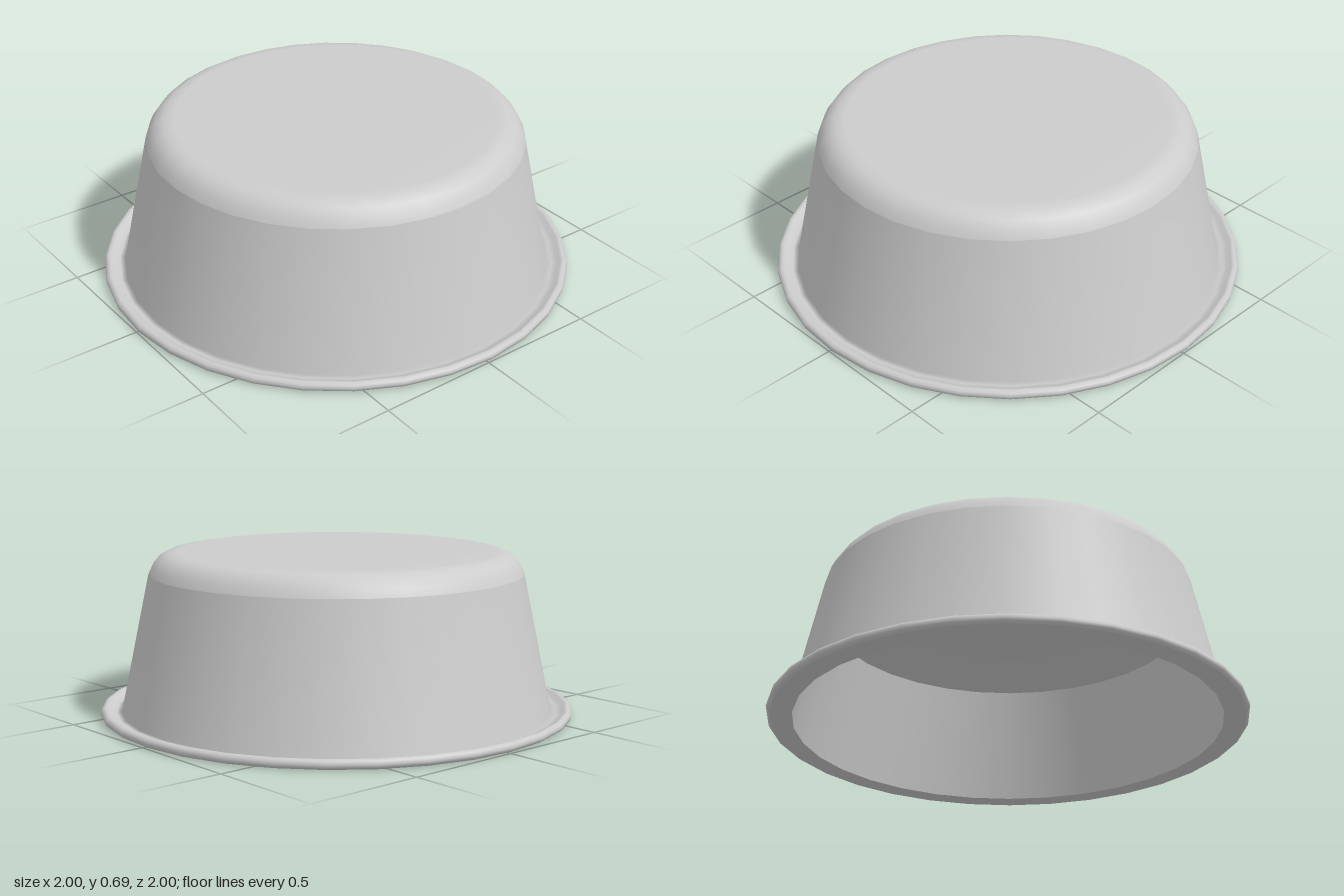
import * as THREE from 'three';

const SIDES = 32;
const TURN = 0.02;

export function createModel() {
  const bowl = new THREE.Group();
  bowl.name = 'upturnedBowl';
  const grey = new THREE.MeshStandardMaterial({ color: 0xcccccc });
  grey.name = 'light grey';

  // Each smooth surface is its own lathe, so the edges between them stay crisp.
  // Outward surfaces run bottom to top; inner ones run top to bottom.
  function turn(name, profile) {
    const points = profile.map(([r, y]) => new THREE.Vector2(r, y));
    const mesh = new THREE.Mesh(new THREE.LatheGeometry(points, SIDES, TURN), grey);
    mesh.name = name;
    bowl.add(mesh);
  }

  // Rolled lip and dished rim, blending into the tapered wall
  turn('rimAndOuterWall', [
    [0.985, 0], [0.997, 0.008], [1, 0.02], [0.996, 0.033], [0.983, 0.04],
    [0.97, 0.037], [0.955, 0.025], [0.935, 0.02], [0.912, 0.02], [0.79, 0.6],
  ]);

  // Rounded shoulder flowing into the flat base
  turn('shoulderAndBase', [
    [0.79, 0.6], [0.775, 0.632], [0.75, 0.663], [0.715, 0.683], [0.67, 0.69], [0, 0.69],
  ]);

  turn('rimUnderside', [[0.893, 0], [0.985, 0]]);

  // Hollow interior with a shallow dished floor
  turn('innerWall', [[0.775, 0.49], [0.893, 0]]);
  const floor = [];
  for (let i = 0; i <= 8; i++) {
    const t = i / 8;
    floor.push([0.775 * t, 0.63 - 0.14 * t * t]);
  }
  turn('innerFloor', floor);

  return bowl;
}
